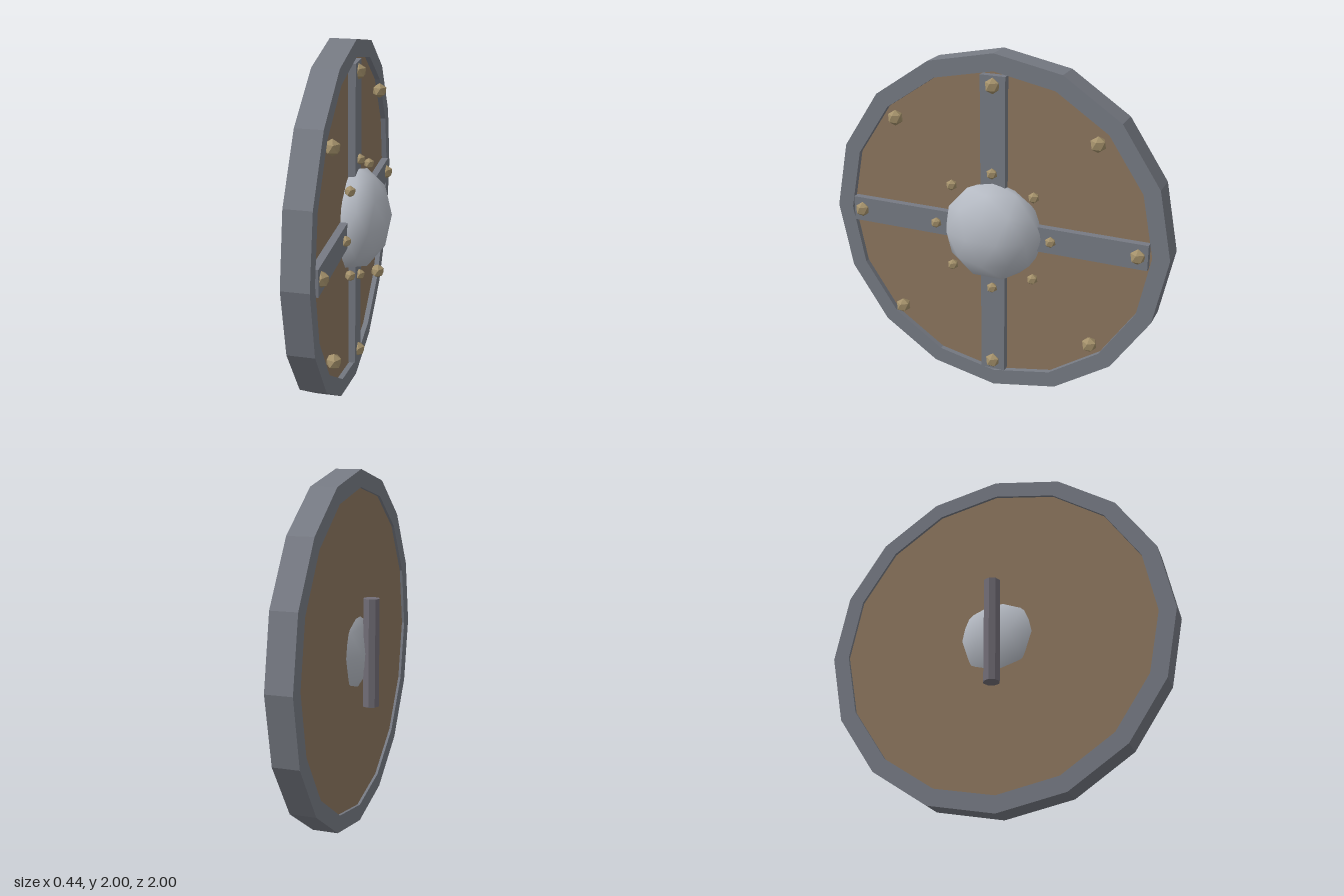
import * as THREE from 'three';

const mat = (name, color, flatShading = false) => {
  const m = new THREE.MeshStandardMaterial({ color, flatShading });
  m.name = name;
  return m;
};

// Regular 16-sided outline with a corner at the top
const outline = (r) => Array.from({ length: 16 }, (_, i) => {
  const a = (i / 16) * Math.PI * 2;
  return new THREE.Vector2(r * Math.cos(a), r * Math.sin(a));
});

// Icosphere with a corner pointing up and another towards +x
const icosphere = (r, detail) =>
  new THREE.IcosahedronGeometry(r, detail).rotateZ(-Math.atan(2 / (1 + Math.sqrt(5))));

export function createModel() {
  const steel = mat('rim steel', 0x767a83);
  const wood = mat('wood', 0x8c765e);
  const polished = mat('polished steel', 0xb6bbc4);
  const brass = mat('brass', 0xa3906a, true);
  const gripMat = mat('grip', 0x726e77, true);

  const shield = new THREE.Group();
  shield.name = 'shield';
  const add = (name, geometry, material, x = 0, y = 1, z = 0) => {
    const mesh = new THREE.Mesh(geometry, material);
    mesh.name = name;
    mesh.position.set(x, y, z);
    shield.add(mesh);
    return mesh;
  };

  // Slab of a given outline, extruded along x
  const slab = (shape, depth) =>
    new THREE.ExtrudeGeometry(shape, { depth, bevelEnabled: false }).rotateY(Math.PI / 2);

  // Rim ring and wooden board
  const ring = new THREE.Shape(outline(1));
  ring.holes.push(new THREE.Path(outline(0.905)));
  add('rim', slab(ring, 0.145), steel, -0.115);
  add('board', slab(new THREE.Shape(outline(0.92)), 0.1), wood, -0.1);

  // Crossed bars on the face
  add('verticalBar', new THREE.BoxGeometry(0.08, 1.77, 0.145), steel, 0.001);
  add('horizontalBar', new THREE.BoxGeometry(0.08, 0.145, 1.77), steel, 0.001);

  // Central boss, a squashed ball passing through the board
  add('boss', icosphere(1, 1).scale(0.195, 0.29, 0.29), polished, 0.03);

  // Two circles of eight rivets
  const largeRivet = icosphere(0.045, 0);
  const smallRivet = icosphere(0.032, 0);
  for (let i = 0; i < 8; i++) {
    const a = (i * Math.PI) / 4;
    const c = Math.cos(a), s = Math.sin(a);
    add('outerRivet', largeRivet, brass, 0.04, 1 + 0.83 * c, 0.83 * s);
    add('innerRivet', smallRivet, brass, 0.05, 1 + 0.345 * c, 0.345 * s);
  }

  // Hand grip behind the board
  add('grip', new THREE.CylinderGeometry(0.047, 0.047, 0.61, 8), gripMat, -0.177);

  return shield;
}
